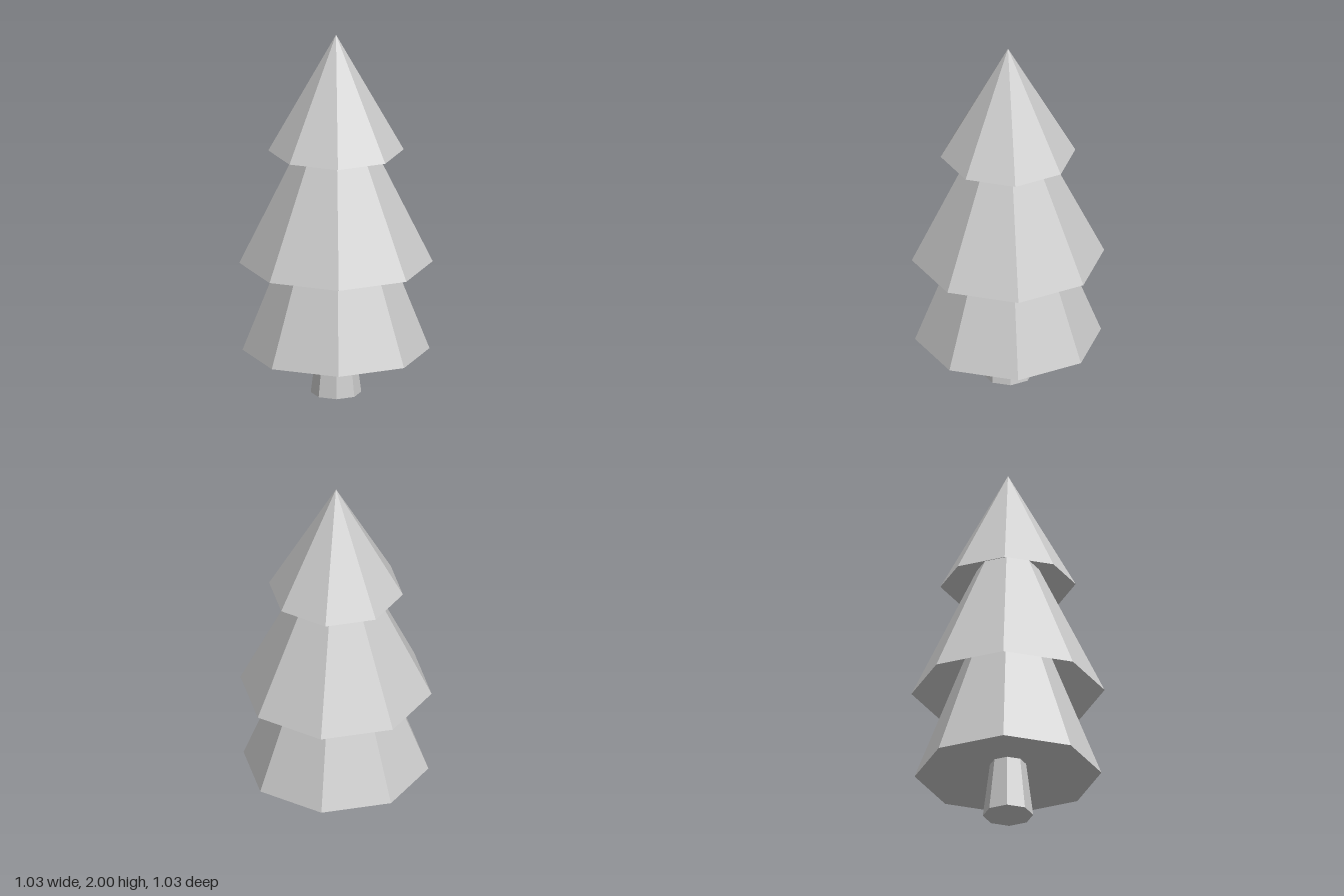
import * as THREE from 'three';

const SIDES = 8;

// Turned low-poly part from [radius, height] pairs, listed from the underside up
function turned(name, profile, material) {
  const points = profile.map(([r, y]) => new THREE.Vector2(r, y));
  const mesh = new THREE.Mesh(new THREE.LatheGeometry(points, SIDES), material);
  mesh.name = name;
  return mesh;
}

export function createModel() {
  const tree = new THREE.Group();
  tree.name = 'pineTree';
  const material = new THREE.MeshStandardMaterial({ color: 0xcccccc, flatShading: true });

  // Tapered trunk with a closed base, running up into the lowest tier
  tree.add(turned('trunk', [[0, 0], [0.135, 0], [0.097, 0.3]], material));

  // Each tier: hollowed underside, rim, then sloping side up into the tier above
  const tiers = {
    lowerFoliage: [[0.097, 0.3], [0.5, 0.24], [0.235, 0.918]],
    middleFoliage: [[0.235, 0.918], [0.517, 0.727], [0.166, 1.446]],
    topFoliage: [[0.166, 1.446], [0.362, 1.355], [0, 2]],
  };
  for (const [name, profile] of Object.entries(tiers)) {
    tree.add(turned(name, profile, material));
  }
  return tree;
}
